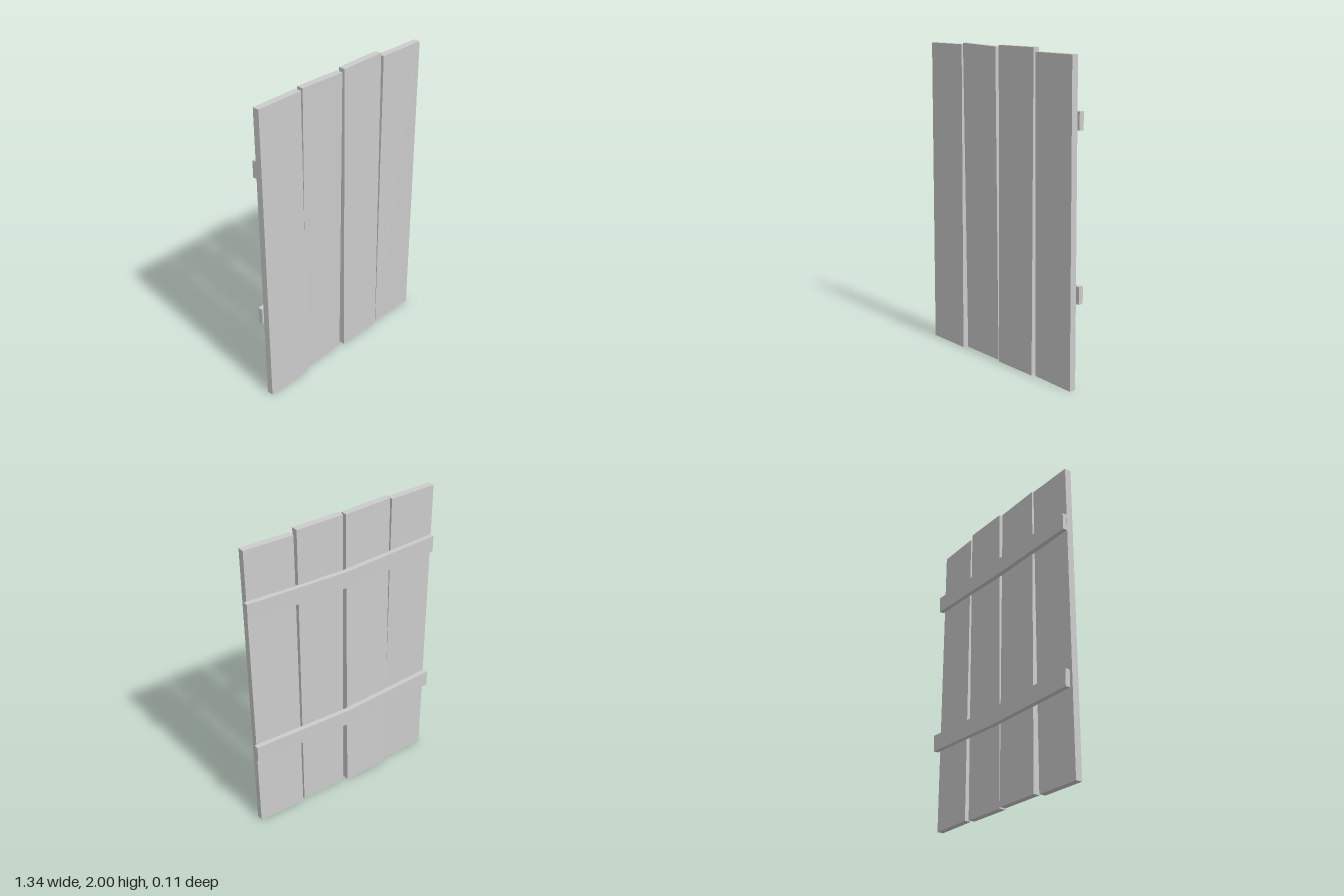
import * as THREE from 'three';

const material = new THREE.MeshStandardMaterial({ color: 0xcccccc, flatShading: true });

// Box whose vertices are moved by a rule
function bentBox(name, w, h, d, segments, rule) {
  const geo = new THREE.BoxGeometry(w, h, d, segments, 1, 1);
  const pos = geo.attributes.position;
  const v = new THREE.Vector3();
  for (let i = 0; i < pos.count; i++) {
    rule(v.fromBufferAttribute(pos, i));
    pos.setXYZ(i, v.x, v.y, v.z);
  }
  geo.computeVertexNormals();
  const mesh = new THREE.Mesh(geo, material);
  mesh.name = name;
  return mesh;
}

export function createModel() {
  const group = new THREE.Group();
  group.name = 'plankPanel';

  // Upright planks: x range, top height at each side,
  // back face z as [top left, top right, bottom left, bottom right] by x order
  const planks = [
    { x0: -0.672, x1: -0.357, y0: 1.99, y1: 1.99, z: [0.0, 0.0, 0.006, 0.006] },
    { x0: -0.343, x1: -0.025, y0: 2.0, y1: 1.99, z: [0.0, 0.0, -0.023, -0.023] },
    { x0: 0.0, x1: 0.315, y0: 2.0, y1: 2.0, z: [-0.006, -0.006, -0.006, -0.006] },
    { x0: 0.334, x1: 0.653, y0: 1.975, y1: 1.975, z: [-0.003, 0.008, -0.02, -0.01] },
  ];
  const thickness = 0.043;
  planks.forEach((p, i) => {
    group.add(bentBox(`plank${i + 1}`, 1, 1, thickness, 1, (v) => {
      const right = v.x > 0, top = v.y > 0;
      v.x = right ? p.x1 : p.x0;
      v.y = top ? (right ? p.y1 : p.y0) : 0;
      v.z += thickness / 2 + p.z[(top ? 0 : 2) + (right ? 1 : 0)];
    }));
  });

  // Cross battens on the back, sagging down and back in the middle
  const battens = [
    { name: 'upperBatten', y: 1.605, z: -0.012 },
    { name: 'lowerBatten', y: 0.585, z: -0.028 },
  ];
  for (const b of battens) {
    group.add(bentBox(b.name, 1.34, 0.108, 0.032, 2, (v) => {
      const middle = 1 - Math.abs(v.x) / 0.67;
      v.y += b.y - 0.02 * middle;
      v.z += b.z - 0.011 * middle;
    }));
  }
  return group;
}
